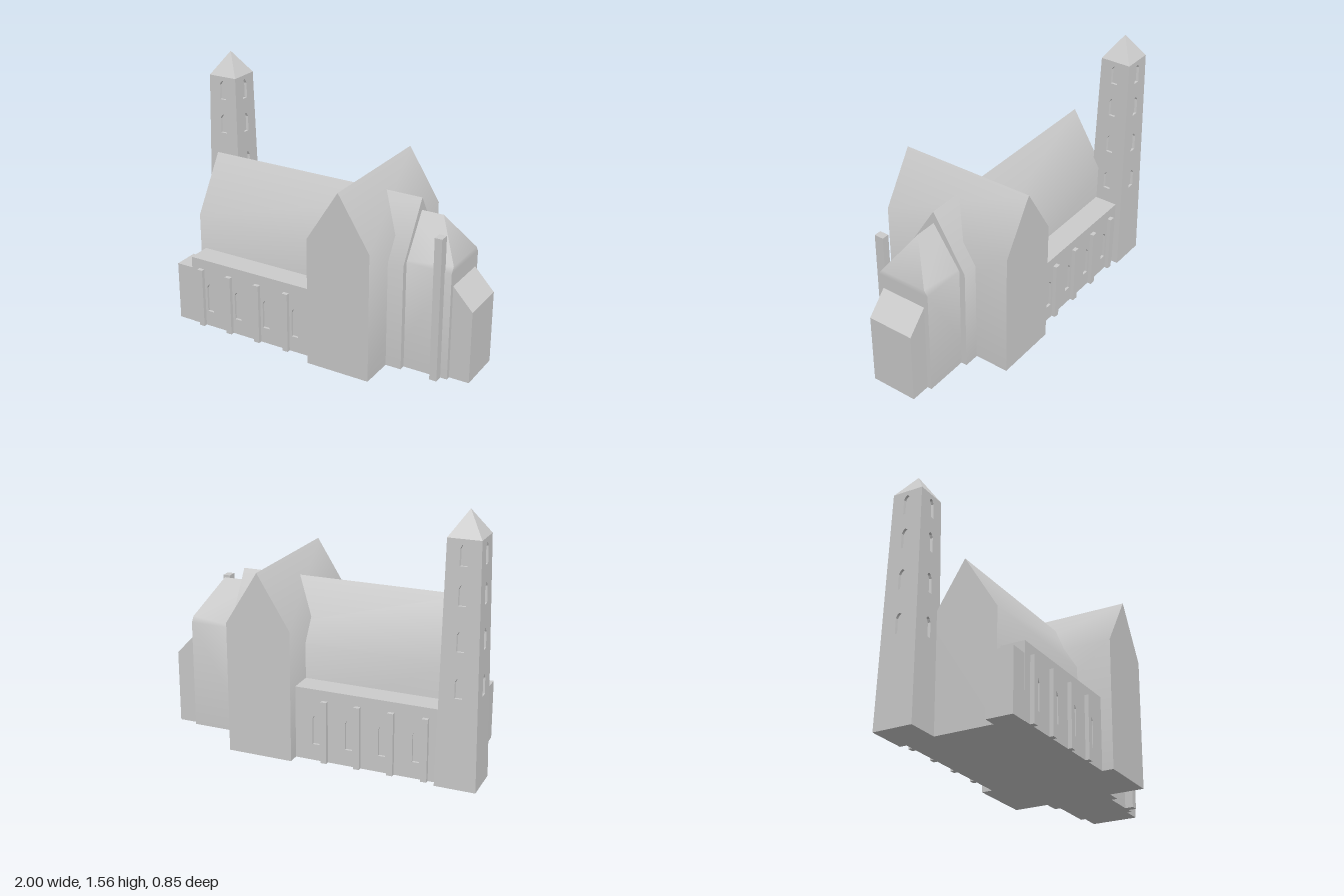
import * as THREE from 'three';
import { toCreasedNormals } from 'three/addons/utils/BufferGeometryUtils.js';
import { ConvexGeometry } from 'three/addons/geometries/ConvexGeometry.js';

const stone = new THREE.MeshStandardMaterial({ color: 0xcccccc });
stone.name = 'stone';

const SOFT = 0.65; // wall-to-roof bends below this angle are shaded smoothly
const RECESS = 0.015; // depth of the window niches

const points = (list) => list.map(([x, y]) => new THREE.Vector2(x, y));

export function createModel() {
  const church = new THREE.Group();
  church.name = 'church';

  const add = (name, geometry, parent = church) => {
    const mesh = new THREE.Mesh(geometry, stone);
    mesh.name = name;
    parent.add(mesh);
    return mesh;
  };

  // Box given by its lower and upper corners
  const block = (name, x0, x1, y0, y1, z0, z1) =>
    add(name, new THREE.BoxGeometry(x1 - x0, y1 - y0, z1 - z0)
      .translate((x0 + x1) / 2, (y0 + y1) / 2, (z0 + z1) / 2));

  const extrude = (shape, depth) =>
    new THREE.ExtrudeGeometry(shape, { depth, bevelEnabled: false });

  const gable = (half, eave, ridge) => new THREE.Shape(points([
    [-half, 0], [half, 0], [half, eave], [0, ridge], [-half, eave],
  ]));

  // Pointed window outline standing at (x, y)
  const lancet = (x, y, height) => {
    const w = 0.022;
    return new THREE.Path(points([
      [x - w, y], [x - w, y + height - 0.027], [x - 0.012, y + height - 0.009], [x, y + height],
      [x + 0.012, y + height - 0.009], [x + w, y + height - 0.027], [x + w, y],
    ]));
  };

  // Nave and the transept crossing it
  add('nave', toCreasedNormals(
    extrude(gable(0.21, 0.66, 1.0), 1.4).rotateY(Math.PI / 2).translate(-0.8, 0, 0), SOFT));
  add('transept', toCreasedNormals(
    extrude(gable(0.2, 0.795, 1.115), 0.85).translate(0.302, 0, -0.425), SOFT));

  // Chancel with a clipped hip at its end
  const corners = [new THREE.Vector3(0.5, 0.925, 0), new THREE.Vector3(0.735, 0.925, 0)];
  for (const s of [1, -1]) {
    for (const x of [0.5, 0.877]) {
      corners.push(new THREE.Vector3(x, 0, s * 0.173), new THREE.Vector3(x, 0.67, s * 0.173));
    }
    corners.push(new THREE.Vector3(0.877, 0.704, s * 0.15));
  }
  add('chancel', toCreasedNormals(new ConvexGeometry(corners), SOFT));

  // Lean-to at the far end, and the chimney beside the chancel
  const leanTo = new THREE.Shape(points([[0.86, 0], [1, 0], [1, 0.45], [0.877, 0.582], [0.86, 0.582]]));
  add('leanTo', extrude(leanTo, 0.29).translate(0, 0, -0.145));
  block('chimney', 0.79, 0.835, 0, 0.885, 0.165, 0.223);

  // Side aisles with niches and buttresses
  for (const side of [1, -1]) {
    const name = side > 0 ? 'front' : 'back';
    const span = (a, b) => [Math.min(side * a, side * b), Math.max(side * a, side * b)];
    block(name + 'AisleCore', -0.765, 0.11, 0, 0.442, ...span(0.15, 0.356 - RECESS));

    const wall = new THREE.Shape(points([[-0.765, 0], [0.11, 0], [0.11, 0.442], [-0.765, 0.442]]));
    for (let i = 0; i < 4; i++) {
      const x = -0.692 + i * 0.203;
      wall.holes.push(lancet(x + 0.056, 0.1, 0.187));
      block(name + 'Buttress', x - 0.018, x + 0.018, 0, 0.38, ...span(0.35, 0.38));
    }
    add(name + 'AisleWall', extrude(wall, RECESS)
      .translate(0, 0, side > 0 ? 0.356 - RECESS : -0.356));
  }
  block('entranceBlock', -0.875, -0.76, 0, 0.37, 0.197, 0.354);

  // Tapering tower: four pierced walls around a solid core
  const tower = new THREE.Group();
  tower.name = 'tower';
  tower.position.set(-0.88, 0, -0.278);
  church.add(tower);
  const H = 1.418, BASE = 0.12, TOP = 0.095;
  const halfAt = (y) => BASE + (TOP - BASE) * y / H;

  add('towerCore', new THREE.CylinderGeometry(
    (TOP - RECESS) * Math.SQRT2, (BASE - RECESS) * Math.SQRT2, H, 4, 1)
    .toNonIndexed().rotateY(Math.PI / 4).translate(0, H / 2, 0), tower)
    .geometry.computeVertexNormals();

  const face = new THREE.Shape(points([[-BASE, 0], [BASE, 0], [TOP, H], [-TOP, H]]));
  for (const y of [0.535, 0.8, 1.055, 1.272]) face.holes.push(lancet(0, y, 0.12));
  const towerWall = extrude(face, RECESS);
  const pos = towerWall.attributes.position;
  for (let i = 0; i < pos.count; i++) {
    // lean the wall inward and mitre its inner corners
    const half = halfAt(pos.getY(i));
    const z = half - RECESS + pos.getZ(i);
    pos.setX(i, pos.getX(i) * z / half);
    pos.setZ(i, z);
  }
  towerWall.computeVertexNormals();
  for (let k = 0; k < 4; k++) add('towerWall', towerWall, tower).rotation.y = k * Math.PI / 2;

  // Pyramid spire
  const spire = new THREE.ConeGeometry(TOP * Math.SQRT2, 0.142, 4, 1).toNonIndexed()
    .rotateY(Math.PI / 4).translate(0, H + 0.071, 0);
  spire.computeVertexNormals();
  add('towerRoof', spire, tower);

  return church;
}
